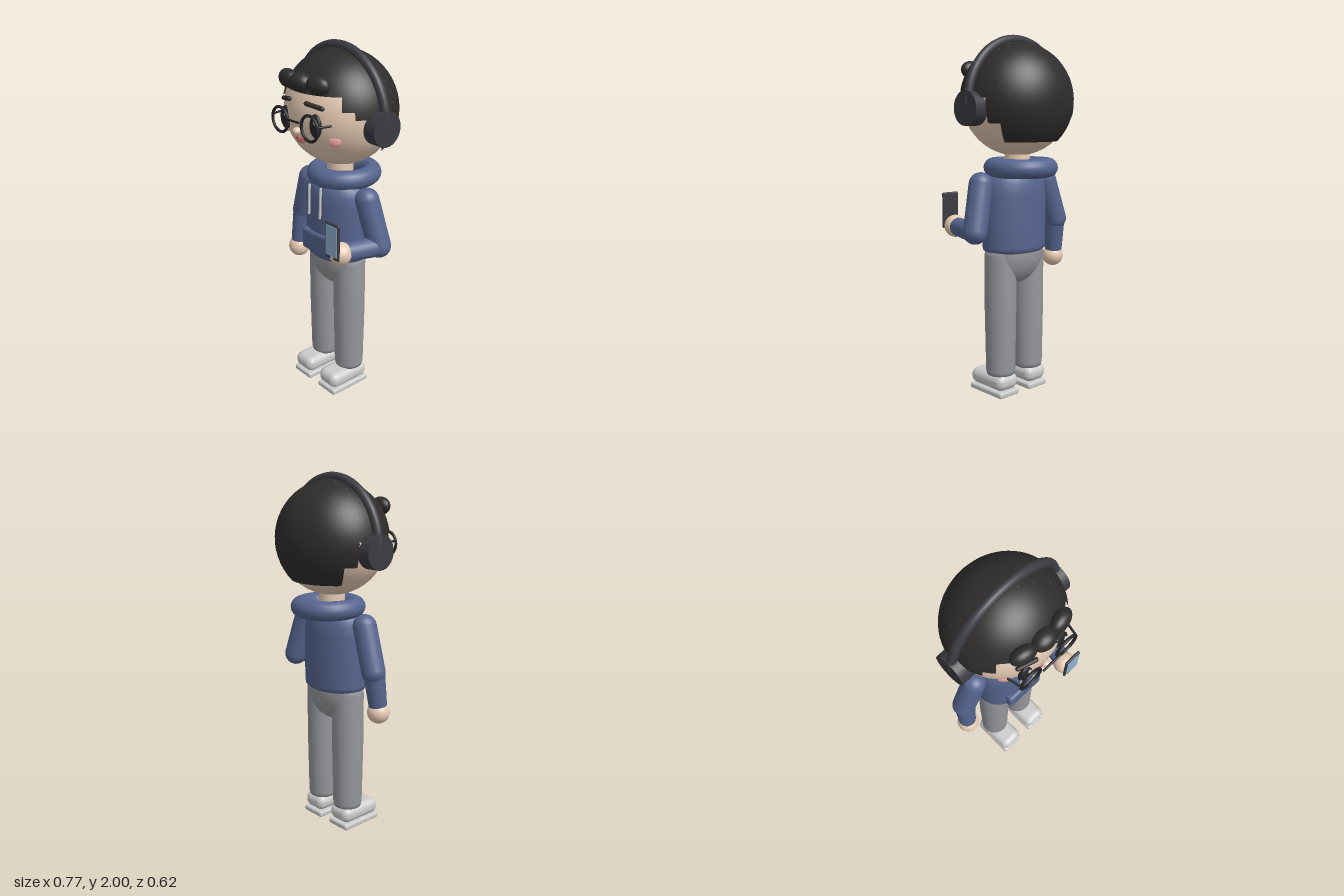
import * as THREE from 'three';
import { RoundedBoxGeometry } from 'three/addons/geometries/RoundedBoxGeometry.js';

const mat = (color, side = THREE.FrontSide) =>
  new THREE.MeshStandardMaterial({ color, side });
const V = (x, y, z) => new THREE.Vector3(x, y, z);

const SKIN = mat(0xe6cbb4), HAIR = mat(0x2f2d2b), HAIR_SHELL = mat(0x2f2d2b, THREE.DoubleSide);
const HOODIE = mat(0x56658f), TROUSERS = mat(0x95979b), BLACK = mat(0x26262a);
const GEAR = mat(0x3b3b42), SHOE = mat(0xc6c6c6), WHITE = mat(0xececec);
const PINK = mat(0xeaa29c), LIP = mat(0xb8605a), SCREEN = mat(0x8db0d0), CORD = mat(0xc9c9c9);

export function createModel() {
  const model = new THREE.Group();
  model.name = 'boyWithHeadphones';

  const add = (name, geometry, material, x = 0, y = 0, z = 0) => {
    const mesh = new THREE.Mesh(geometry, material);
    mesh.name = name;
    mesh.position.set(x, y, z);
    model.add(mesh);
    return mesh;
  };
  const ball = (name, material, x, y, z, rx, ry = rx, rz = rx) => {
    const mesh = add(name, new THREE.SphereGeometry(1, 32, 24), material, x, y, z);
    mesh.scale.set(rx, ry, rz);
    return mesh;
  };
  const box = (name, material, x, y, z, w, h, d, r) =>
    add(name, new RoundedBoxGeometry(w, h, d, 4, r), material, x, y, z);
  // Limb from a to b: capsule, or tapered cylinder when an end radius is given
  const limb = (name, material, a, b, r, rEnd) => {
    const length = a.distanceTo(b);
    const geometry = rEnd === undefined
      ? new THREE.CapsuleGeometry(r, length, 8, 24)
      : new THREE.CylinderGeometry(rEnd, r, length, 24);
    const mesh = add(name, geometry, material);
    mesh.position.copy(a).add(b).multiplyScalar(0.5);
    mesh.quaternion.setFromUnitVectors(V(0, 1, 0), b.clone().sub(a).normalize());
    return mesh;
  };

  // Head and neck
  const HY = 1.65, HZ = -0.02;
  const faceZ = (x, y) =>
    HZ + 0.29 * Math.sqrt(1 - (x / 0.31) ** 2 - ((y - HY) / 0.3) ** 2);
  ball('head', SKIN, 0, HY, HZ, 0.31, 0.3, 0.29);
  add('neck', new THREE.CylinderGeometry(0.07, 0.075, 0.2, 24), SKIN, 0, 1.3, -0.02);

  // Hair cap in strips: [start angle from the front, end angle, bottom height]
  const strips = [[0, 48, 1.77], [48, 60, 1.7], [60, 108, 1.66], [108, 122, 1.53], [122, 180, 1.43]];
  for (const [from, to, bottom] of strips) {
    const theta = Math.acos((bottom - HY) / 0.315);
    for (const start of [90 + from, 90 - to]) {
      const strip = add('hairCap', new THREE.SphereGeometry(1, Math.ceil((to - from) / 6), 20,
        THREE.MathUtils.degToRad(start), THREE.MathUtils.degToRad(to - from), 0, theta),
      HAIR_SHELL, 0, HY, HZ);
      strip.scale.set(0.325, 0.315, 0.295);
    }
  }
  ball('fringeMiddle', HAIR, 0, 1.82, 0.24, 0.068, 0.05, 0.052);

  // Face, mirrored
  for (const s of [1, -1]) {
    const curl = ball('fringeCurl', HAIR, s * 0.12, 1.82, 0.228, 0.07, 0.049, 0.042);
    curl.rotation.y = s * 0.2;
    ball('eye', BLACK, s * 0.12, 1.62, faceZ(0.12, 1.62), 0.042, 0.062, 0.02);
    ball('eyeHighlight', WHITE, s * 0.12 + 0.014, 1.645, 0.262, 0.011, 0.014, 0.006);
    limb('eyebrow', HAIR, V(s * 0.068, 1.728, 0.262), V(s * 0.155, 1.712, 0.232), 0.012);
    const cheek = ball('cheek', PINK, s * 0.193, 1.543, faceZ(0.193, 1.543), 0.032, 0.025, 0.01);
    cheek.rotation.y = s * 0.7;
    add('glassesRim', new THREE.TorusGeometry(0.065, 0.008, 10, 40), BLACK, s * 0.12, 1.615, 0.285);
    limb('glassesTemple', BLACK, V(s * 0.186, 1.632, 0.278), V(s * 0.2, 1.632, 0.215), 0.006);
  }
  limb('glassesBridge', BLACK, V(-0.052, 1.635, 0.303), V(0.058, 1.635, 0.303), 0.006);
  ball('nose', SKIN, 0, 1.575, 0.272, 0.023, 0.02, 0.023);
  ball('lowerLip', LIP, 0, 1.522, 0.246, 0.032, 0.011, 0.014);
  for (const s of [1, -1]) {
    limb('upperLip', LIP, V(s * 0.008, 1.533, 0.25), V(s * 0.038, 1.53, 0.244), 0.007);
  }

  // Headphones
  add('headphoneBand', new THREE.TorusGeometry(0.345, 0.025, 14, 48, Math.PI), GEAR, 0, 1.63, -0.015);
  for (const s of [1, -1]) {
    const cup = add('earCup', new THREE.CylinderGeometry(0.091, 0.091, 0.078, 32), GEAR, s * 0.325, 1.607, -0.013);
    cup.rotation.z = Math.PI / 2;
  }

  // Hoodie body, hood, pocket and cords
  const profile = [[0, 0.82], [0.18, 0.82], [0.195, 0.83], [0.2, 0.85], [0.201, 1.0],
    [0.2, 1.14], [0.193, 1.2], [0.175, 1.245], [0.13, 1.275], [0, 1.28]];
  const torso = add('hoodieBody', new THREE.LatheGeometry(
    profile.map(([x, y]) => new THREE.Vector2(x, y)), 40), HOODIE, 0, 0, 0.005);
  torso.scale.z = 0.73;
  const hood = add('hood', new THREE.TorusGeometry(0.15, 0.053, 18, 44), HOODIE, 0, 1.287, -0.048);
  hood.rotation.x = Math.PI / 2;
  hood.scale.y = 1.02;
  box('pocket', HOODIE, 0, 0.913, 0.138, 0.242, 0.125, 0.05, 0.018);
  for (const s of [1, -1]) {
    limb('drawstring', CORD, V(s * 0.047, 1.245, 0.158), V(s * 0.047, 1.08, 0.165), 0.007);
  }

  // Right arm, hanging
  limb('rightUpperArm', HOODIE, V(-0.238, 1.205, 0), V(-0.318, 0.97, -0.01), 0.065);
  limb('rightForearm', HOODIE, V(-0.318, 0.96, -0.005), V(-0.33, 0.78, 0.015), 0.059, 0.05);
  ball('rightHand', SKIN, -0.33, 0.742, 0.02, 0.062);

  // Left arm, bent forward with the phone
  limb('leftUpperArm', HOODIE, V(0.245, 1.205, 0.005), V(0.312, 0.955, -0.025), 0.065);
  limb('leftForearm', HOODIE, V(0.312, 0.955, -0.02), V(0.268, 0.96, 0.18), 0.057, 0.05);
  ball('leftHand', SKIN, 0.262, 0.96, 0.203, 0.062);
  box('phone', GEAR, 0.257, 1.045, 0.255, 0.106, 0.2, 0.017, 0.008);
  box('phoneScreen', SCREEN, 0.257, 1.048, 0.262, 0.09, 0.172, 0.006, 0.002);

  // Trousers and shoes
  ball('hips', TROUSERS, 0, 0.81, 0.003, 0.19, 0.18, 0.125);
  for (const s of [1, -1]) {
    const leg = [[0, 0.11], [0.06, 0.112], [0.078, 0.122], [0.083, 0.145], [0.089, 0.5], [0.089, 0.8], [0.08, 0.85], [0, 0.86]];
    add('leg', new THREE.LatheGeometry(leg.map(([x, y]) => new THREE.Vector2(x, y)), 32),
      TROUSERS, s * 0.107, 0, 0.003);
    box('shoe', SHOE, s * 0.11, 0.081, 0.053, 0.15, 0.092, 0.266, 0.042);
    box('sole', WHITE, s * 0.11, 0.018, 0.053, 0.146, 0.034, 0.266, 0.012);
  }
  return model;
}
